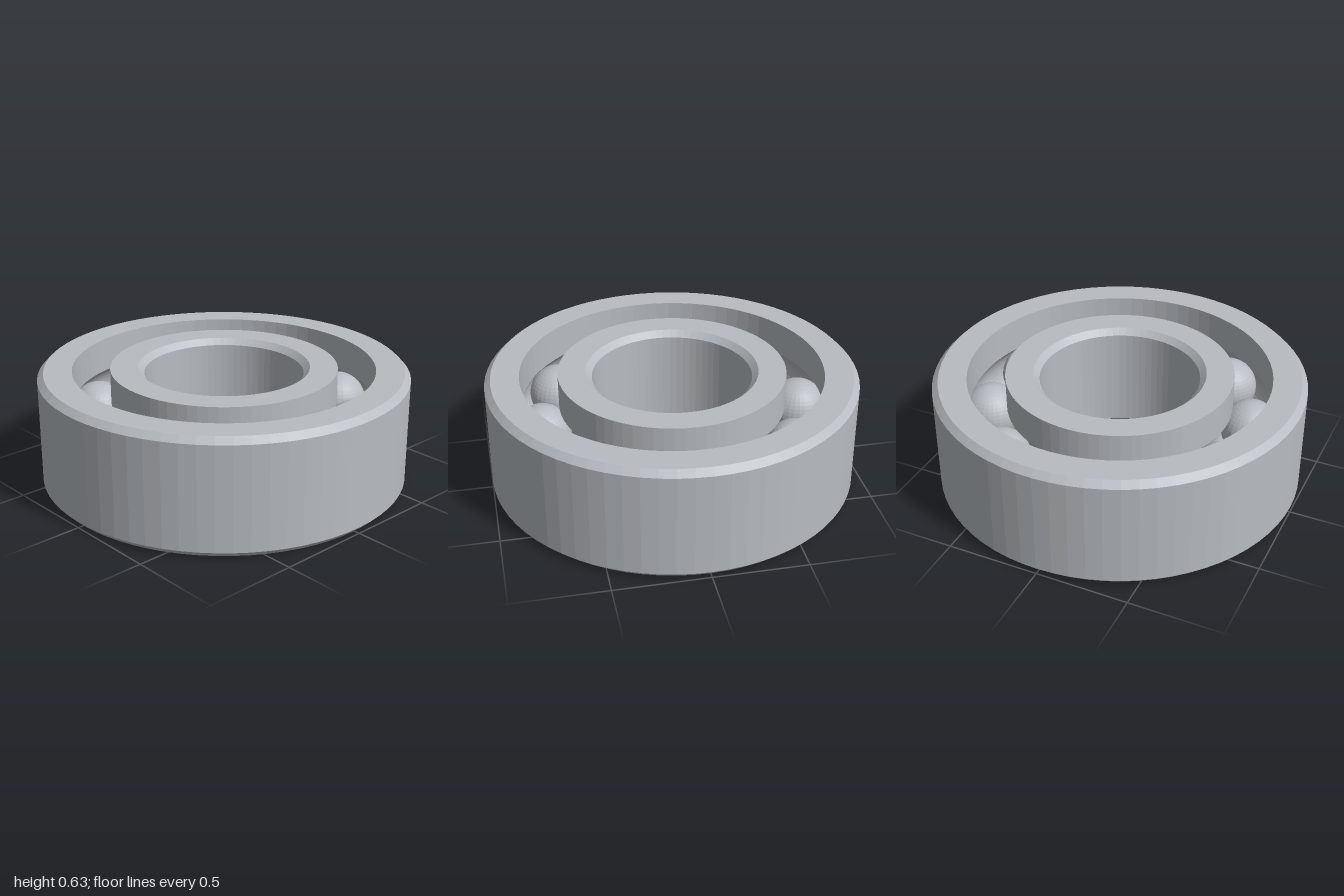
import * as THREE from 'three';

const HEIGHT = 0.63, MID = HEIGHT / 2, CHAMFER = 0.033;
const PITCH = 0.713, BALL_RADIUS = 0.16, BALLS = 10;
const OUTER = 1, OUTER_BORE = 0.815, INNER_RIM = 0.612, INNER_BORE = 0.43;

// Race groove: arc around the ball centre, meeting the wall of radius wallR
function groove(wallR, from) {
  const r = BALL_RADIUS + 0.002;
  const half = Math.acos(Math.abs(wallR - PITCH) / r);
  const points = [];
  for (let i = 0; i <= 12; i++) {
    const a = from + half - (2 * half * i) / 12;
    points.push([PITCH + r * Math.cos(a), MID + r * Math.sin(a)]);
  }
  return points;
}

// Closed counterclockwise profile turned around y
function ring(name, profile, material) {
  const points = [...profile, profile[0]].map(([r, y]) => new THREE.Vector2(r, y));
  const mesh = new THREE.Mesh(new THREE.LatheGeometry(points, 72), material);
  mesh.name = name;
  return mesh;
}

export function createModel() {
  const steel = new THREE.MeshStandardMaterial({ color: 0xb8bcc2, flatShading: true });
  steel.name = 'steel';
  const model = new THREE.Group();
  model.name = 'ballBearing';

  // Outer ring: chamfered outside, grooved inside
  model.add(ring('outerRing', [
    [OUTER_BORE, 0], [OUTER - CHAMFER, 0], [OUTER, CHAMFER],
    [OUTER, HEIGHT - CHAMFER], [OUTER - CHAMFER, HEIGHT], [OUTER_BORE, HEIGHT],
    ...groove(OUTER_BORE, 0),
  ], steel));

  // Inner ring: grooved outside, chamfered bore
  model.add(ring('innerRing', [
    [INNER_BORE + CHAMFER, 0], [INNER_RIM, 0],
    ...groove(INNER_RIM, Math.PI),
    [INNER_RIM, HEIGHT], [INNER_BORE + CHAMFER, HEIGHT],
    [INNER_BORE, HEIGHT - CHAMFER], [INNER_BORE, CHAMFER],
  ], steel));

  // Balls spaced evenly along the race
  const balls = new THREE.Group();
  balls.name = 'balls';
  const ballGeometry = new THREE.SphereGeometry(BALL_RADIUS, 32, 24);
  for (let i = 0; i < BALLS; i++) {
    const a = (i / BALLS) * Math.PI * 2;
    const ball = new THREE.Mesh(ballGeometry, steel);
    ball.name = 'ball';
    ball.position.set(PITCH * Math.cos(a), MID, PITCH * Math.sin(a));
    balls.add(ball);
  }
  model.add(balls);
  return model;
}
